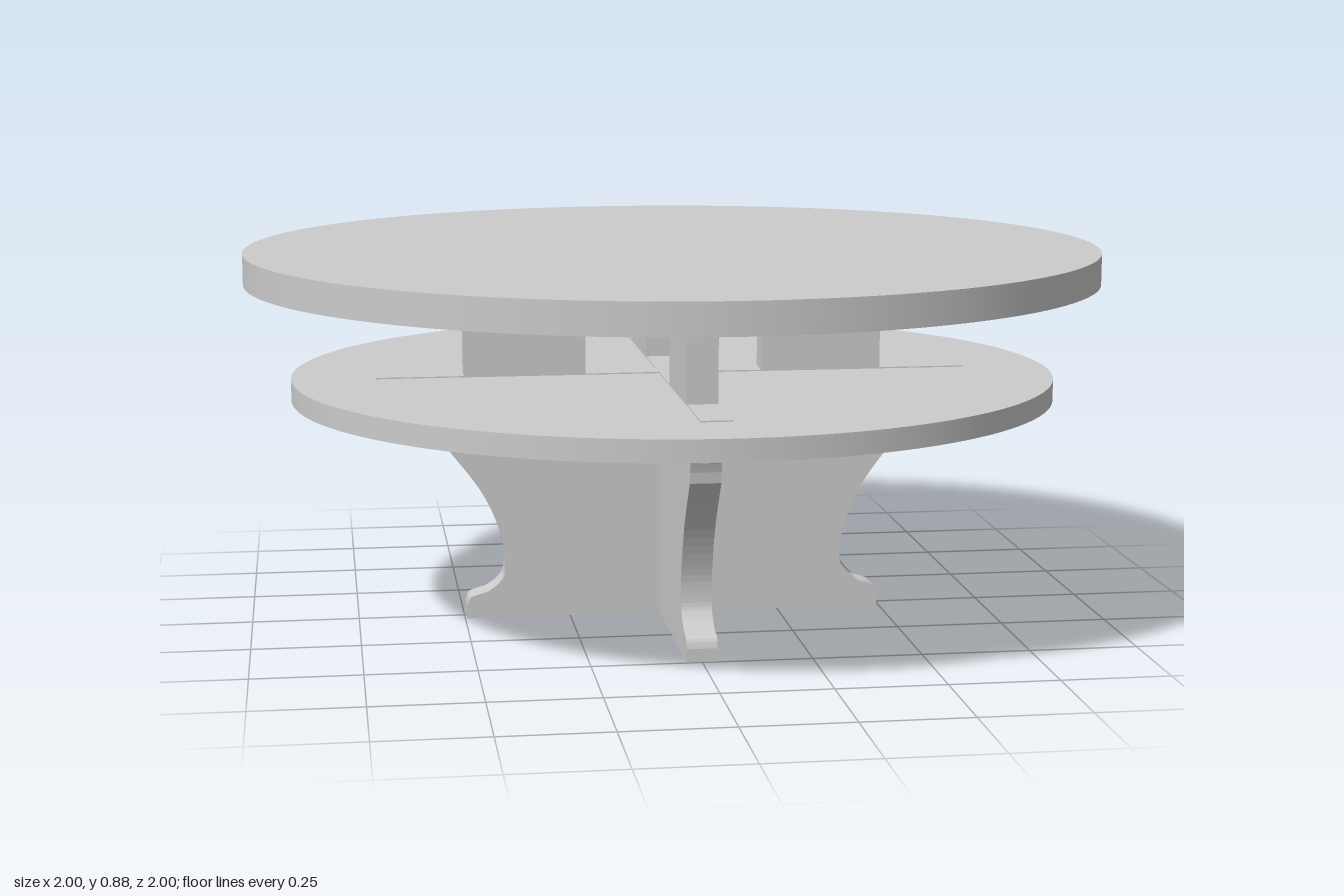
import * as THREE from 'three';

const THICK = 0.07; // thickness of every upright board

export function createModel() {
  const group = new THREE.Group();
  const material = new THREE.MeshStandardMaterial({ color: 0xcccccc });

  const add = (name, geometry, y = 0) => {
    const mesh = new THREE.Mesh(geometry, material);
    mesh.name = name;
    mesh.position.y = y;
    group.add(mesh);
    return mesh;
  };

  const disc = (name, radius, bottom, top) =>
    add(name, new THREE.CylinderGeometry(radius, radius, top - bottom, 128), (bottom + top) / 2);

  // Round table top and the smaller shelf below it
  disc('tableTop', 1, 0.805, 0.877);
  disc('shelf', 0.896, 0.53, 0.58);

  // Right half of the pedestal outline: rounded foot, hollow waist, stepped shoulder
  const edge = (points) =>
    new THREE.SplineCurve(points.map(([x, y]) => new THREE.Vector2(x, y)));
  const half = [
    new THREE.Vector2(0.495, 0),
    ...edge([[0.495, 0.03], [0.488, 0.049], [0.47, 0.057], [0.45, 0.062]]).getPoints(8),
    ...edge([[0.442, 0.066], [0.418, 0.085], [0.404, 0.115], [0.41, 0.19], [0.455, 0.3], [0.54, 0.415]]).getPoints(28),
    ...edge([[0.543, 0.44], [0.553, 0.468], [0.575, 0.485], [0.605, 0.491]]).getPoints(8),
    ...edge([[0.63, 0.493], [0.665, 0.507], [0.69, 0.53]]).getPoints(8),
    new THREE.Vector2(0.7, 0.55),
    new THREE.Vector2(0.7, 0.583),
  ];
  const mirrored = half.map((p) => new THREE.Vector2(-p.x, p.y)).reverse();
  const board = new THREE.ExtrudeGeometry(new THREE.Shape([...half, ...mirrored]), {
    depth: THICK,
    bevelEnabled: false,
  });
  board.translate(0, 0, -THICK / 2);

  // Two pedestal boards crossing at right angles; their tops show flush in the shelf
  for (let i = 0; i < 2; i++) add('pedestalBoard', board).rotation.y = (i * Math.PI) / 2;

  // Four upright supports carrying the top
  const support = new THREE.BoxGeometry(0.285, 0.225, THICK);
  support.translate(0.3525, 0, 0);
  for (let i = 0; i < 4; i++) add('topSupport', support, 0.6925).rotation.y = (i * Math.PI) / 2;

  return group;
}
